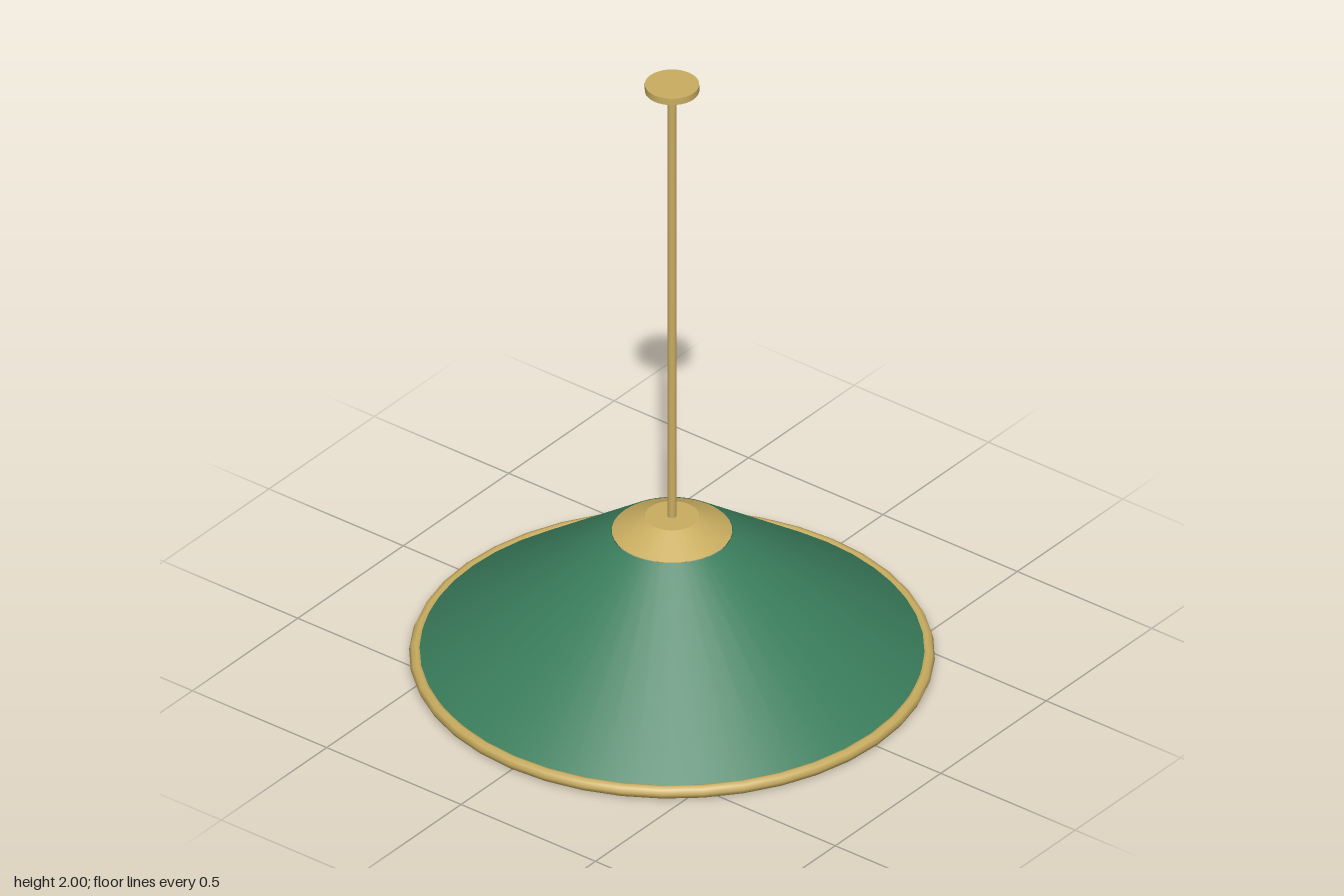
import * as THREE from 'three';

export function createModel() {
  const model = new THREE.Group();
  const mat = (name, color) => {
    const m = new THREE.MeshStandardMaterial({ color });
    m.name = name;
    return m;
  };
  const brass = mat('brass', 0xc9ad60);
  const green = mat('greenEnamel', 0x3a7d5c);
  const white = mat('whiteLining', 0xe6e4de);
  const cream = mat('bulbGlass', 0xecdfc0);

  const add = (name, geometry, material, y) => {
    const mesh = new THREE.Mesh(geometry, material);
    mesh.name = name;
    mesh.position.y = y;
    model.add(mesh);
    return mesh;
  };

  // Thin conical shade: one closed shell, green outside and white inside
  const segments = 48;
  const profile = [[0.728, 0.022], [0.17, 0.438], [0.18, 0.45], [0.74, 0.035]]
    .reverse().map(([x, y]) => new THREE.Vector2(x, y));
  // Profile runs up the outside, over the top edge and down the inside
  const shell = new THREE.LatheGeometry(profile, segments);
  const quads = profile.length - 1;
  for (let i = 0; i < segments; i++) {
    const start = i * quads * 6;
    shell.addGroup(start, 12, 0);
    shell.addGroup(start + 12, 6, 1);
  }
  add('shade', shell, [green, white], 0);

  // Rolled brass rim
  const rim = new THREE.TorusGeometry(0.75, 0.02, 8, 40);
  rim.rotateX(Math.PI / 2);
  add('rim', rim, brass, 0.02);

  // Cap, stem and ceiling plate
  add('cap', new THREE.CylinderGeometry(0.08, 0.177, 0.05, 32), brass, 0.475);
  add('stem', new THREE.CylinderGeometry(0.0135, 0.0135, 1.5, 12), brass, 1.24);
  add('ceilingPlate', new THREE.CylinderGeometry(0.08, 0.08, 0.022, 32), brass, 1.989);

  // Socket and bulb under the cap
  add('socket', new THREE.CylinderGeometry(0.046, 0.046, 0.18, 20), brass, 0.365);
  add('bulb', new THREE.SphereGeometry(0.102, 24, 16), cream, 0.2);

  return model;
}
